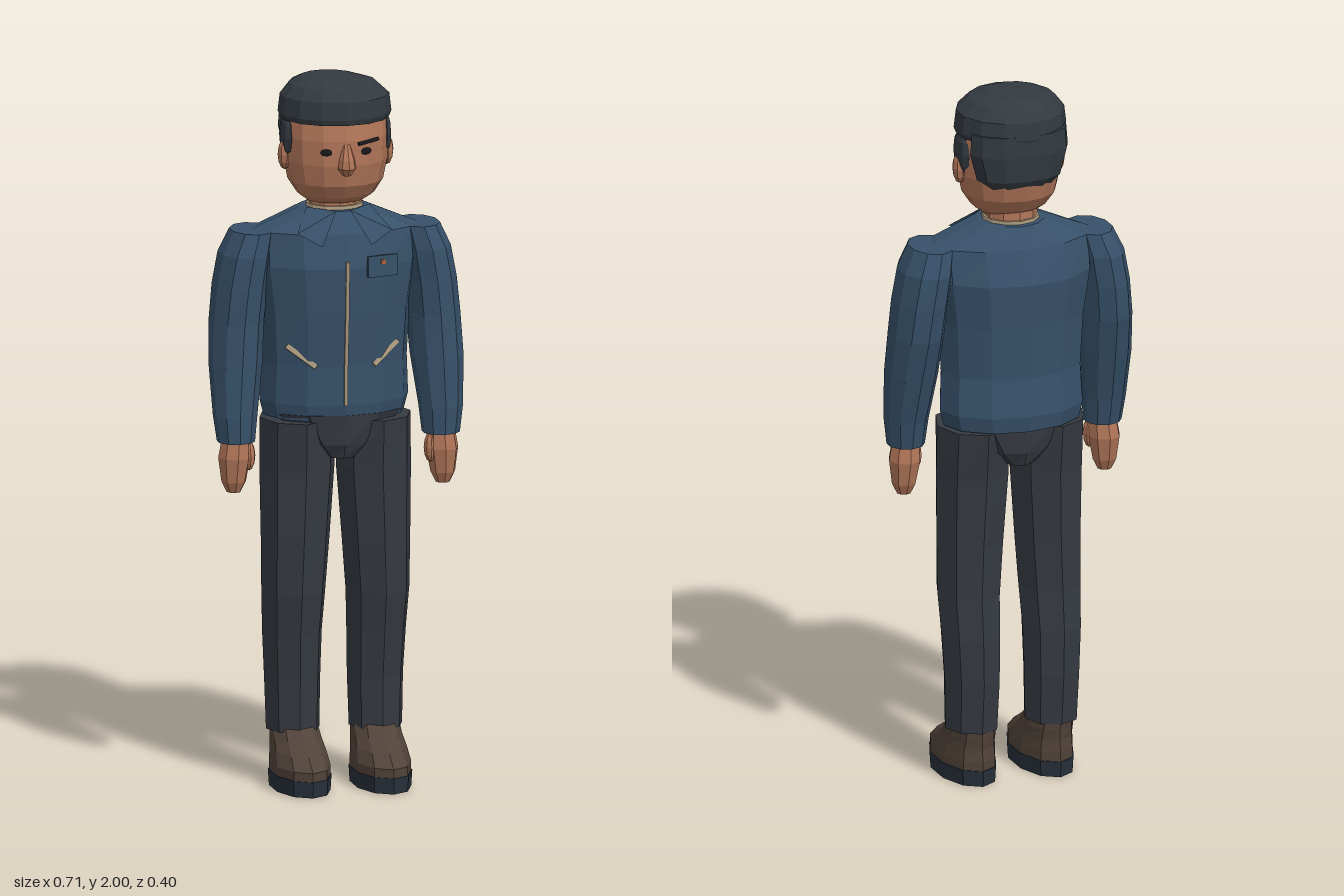
import * as THREE from 'three';

const mat = (name, color, side = THREE.FrontSide) => {
  const m = new THREE.MeshStandardMaterial({ color, flatShading: true, side });
  m.name = name;
  return m;
};

// Closed faceted solid through ellipses [y, centreX, centreZ, radiusX, radiusZ], bottom to top
function loft(rings, sides, mirror = 1) {
  const pos = [], idx = [];
  const ringPoint = ([y, cx, cz, rx, rz], j) => {
    const a = (j / sides) * Math.PI * 2;
    pos.push(cx * mirror + rx * Math.sin(a), y, cz + rz * Math.cos(a));
  };
  rings.forEach((r) => { for (let j = 0; j < sides; j++) ringPoint(r, j); });
  const n = rings.length, bottom = n * sides, top = bottom + 1;
  for (const r of [rings[0], rings[n - 1]]) pos.push(r[1] * mirror, r[0], r[2]);
  for (let j = 0; j < sides; j++) {
    const k = (j + 1) % sides;
    for (let i = 0; i < n - 1; i++) {
      const a = i * sides + j, b = i * sides + k;
      idx.push(a, b, b + sides, a, b + sides, a + sides);
    }
    idx.push(bottom, k, j, top, (n - 1) * sides + j, (n - 1) * sides + k);
  }
  let g = new THREE.BufferGeometry();
  g.setAttribute('position', new THREE.Float32BufferAttribute(pos, 3));
  g.setIndex(idx);
  g = g.toNonIndexed();
  g.computeVertexNormals();
  return g;
}

export function createModel() {
  const model = new THREE.Group();
  model.name = 'standingMan';
  const jacket = mat('jacketBlue', 0x37516a, THREE.DoubleSide);
  const trousers = mat('trouserCharcoal', 0x353a41);
  const hair = mat('hairDark', 0x333a40);
  const skin = mat('skin', 0xb27659);
  const leather = mat('shoeBrown', 0x51433a);
  const rubber = mat('soleDark', 0x28303a);
  const trim = mat('trimBeige', 0xa6957a);
  const ink = mat('eyeBlack', 0x17191c);
  const badge = mat('badgeOrange', 0xa8623c);

  const add = (name, geometry, material, parent = model) => {
    const m = new THREE.Mesh(geometry, material);
    m.name = name;
    parent.add(m);
    return m;
  };
  const blob = (name, material, p, s) => {
    const m = add(name, new THREE.SphereGeometry(1, 8, 6), material);
    m.position.set(...p);
    m.scale.set(...s);
    return m;
  };
  const bar = (name, from, to, width, material) => {
    const a = new THREE.Vector3(...from), b = new THREE.Vector3(...to);
    const m = add(name, new THREE.BoxGeometry(width, a.distanceTo(b), 0.009), material);
    m.position.copy(a).lerp(b, 0.5);
    m.quaternion.setFromUnitVectors(new THREE.Vector3(0, 1, 0), b.sub(a).normalize());
    return m;
  };

  // Jacket body, collar lining and neck
  add('jacketBody', loft([
    [1.045, 0, -0.04, 0.2, 0.14], [1.09, 0, -0.04, 0.212, 0.148], [1.2, 0, -0.035, 0.207, 0.143],
    [1.35, 0, -0.034, 0.215, 0.156], [1.48, 0, -0.036, 0.235, 0.166],
    [1.575, 0, -0.03, 0.235, 0.138], [1.633, 0, -0.032, 0.095, 0.104],
  ], 12), jacket);
  add('shirtCollar', loft([[1.62, 0, -0.032, 0.085, 0.088], [1.642, 0, -0.034, 0.08, 0.082]], 12), trim);
  add('neck', loft([[1.6, 0, -0.035, 0.075, 0.075], [1.72, 0, -0.035, 0.075, 0.075]], 10), skin);

  // Head with nose
  add('head', loft([
    [1.652, 0, -0.02, 0.08, 0.068], [1.672, 0, -0.018, 0.108, 0.1], [1.71, 0, -0.02, 0.133, 0.128],
    [1.77, 0, -0.022, 0.145, 0.143], [1.84, 0, -0.025, 0.148, 0.147], [1.92, 0, -0.03, 0.14, 0.14],
  ], 14), skin);
  add('nose', loft([
    [1.745, 0, 0.118, 0.012, 0.016], [1.765, 0, 0.12, 0.026, 0.028],
    [1.79, 0, 0.12, 0.022, 0.026], [1.832, 0, 0.115, 0.01, 0.01],
  ], 8), skin);
  const brow = bar('eyebrow', [0.033, 1.833, 0.122], [0.095, 1.84, 0.094], 0.01, ink);
  brow.scale.z = 0.9;

  // Hair: crown and the mass at the back of the head
  add('hairCrown', loft([
    [1.885, 0, -0.03, 0.152, 0.15], [1.9, 0, -0.03, 0.158, 0.155], [1.95, 0, -0.03, 0.152, 0.15],
    [1.982, -0.005, -0.03, 0.122, 0.125], [1.997, -0.015, -0.035, 0.08, 0.085], [2, -0.02, -0.035, 0.03, 0.03],
  ], 14), hair);
  add('hairBack', loft([
    [1.735, 0, -0.1, 0.085, 0.045], [1.775, 0, -0.1, 0.125, 0.073],
    [1.85, 0, -0.1, 0.145, 0.083], [1.91, 0, -0.1, 0.14, 0.082],
  ], 12), hair);

  // Hip section joining the legs
  add('hips', loft([
    [0.935, 0, -0.03, 0.06, 0.115], [0.975, 0, -0.03, 0.12, 0.13], [1.06, 0, -0.03, 0.2, 0.135],
  ], 12), trousers);

  // Mirrored parts
  for (const s of [1, -1]) {
    const side = s > 0 ? 'left' : 'right';
    add(side + 'Sleeve', loft([
      [0.985, 0.292, 0.016, 0.053, 0.055], [1.06, 0.293, 0.01, 0.062, 0.065],
      [1.2, 0.287, -0.012, 0.074, 0.087], [1.32, 0.28, -0.03, 0.075, 0.103],
      [1.42, 0.27, -0.034, 0.075, 0.11], [1.51, 0.255, -0.034, 0.073, 0.11],
      [1.575, 0.235, -0.03, 0.062, 0.09],
    ], 10, s), jacket);
    add(side + 'Hand', loft([
      [0.842, 0.298, 0.015, 0.02, 0.02], [0.872, 0.298, 0.015, 0.035, 0.036],
      [0.94, 0.296, 0.014, 0.046, 0.05], [0.995, 0.292, 0.015, 0.04, 0.042],
    ], 8, s), skin);
    blob(side + 'Thumb', skin, [s * 0.258, 0.945, 0.03], [0.018, 0.042, 0.022]);

    add(side + 'TrouserLeg', loft([
      [0.155, 0.118, -0.036, 0.076, 0.089], [0.3, 0.118, -0.042, 0.08, 0.098],
      [0.43, 0.12, -0.036, 0.085, 0.104], [0.545, 0.12, -0.02, 0.091, 0.108],
      [0.7, 0.115, -0.018, 0.098, 0.11], [0.9, 0.109, -0.022, 0.107, 0.117],
      [1.04, 0.11, -0.026, 0.105, 0.13],
    ], 8, s), trousers);
    add(side + 'Sole', loft([[0, 0.115, 0.037, 0.08, 0.16], [0.045, 0.115, 0.037, 0.083, 0.163]], 10, s), rubber);
    add(side + 'Shoe', loft([
      [0.045, 0.115, 0.037, 0.08, 0.16], [0.07, 0.115, 0.037, 0.08, 0.16],
      [0.105, 0.115, 0.015, 0.075, 0.132], [0.135, 0.115, -0.015, 0.07, 0.104],
      [0.168, 0.116, -0.036, 0.066, 0.085],
    ], 10, s), leather);

    blob(side + 'Ear', skin, [s * 0.145, 1.785, -0.018], [0.02, 0.043, 0.028]);
    blob(side + 'Sideburn', hair, [s * 0.137, 1.835, -0.022], [0.02, 0.068, 0.052]);
    const eye = blob(side + 'Eye', ink, [s * 0.057, 1.81, 0.111], [0.017, 0.01, 0.004]);
    eye.rotation.y = s * 0.3;

    // Collar flap laid over the shoulder, and the slanted pocket zip
    const flap = new THREE.BufferGeometry();
    flap.setAttribute('position', new THREE.Float32BufferAttribute([
      s * 0.02, 1.636, 0.076, s * 0.07, 1.545, 0.122, s * 0.135, 1.58, 0.094, s * 0.09, 1.638, 0.01,
    ], 3));
    flap.setIndex(s > 0 ? [0, 1, 2, 0, 2, 3] : [0, 2, 1, 0, 3, 2]);
    flap.computeVertexNormals();
    add(side + 'CollarFlap', flap, jacket);
    bar(side + 'PocketZip', [s * 0.082, 1.2, 0.096], [s * 0.158, 1.257, 0.06], 0.014, trim);
  }

  // Front zip following the chest
  const zip = [[1.09, 0.109], [1.2, 0.109], [1.35, 0.123], [1.5, 0.13]];
  for (let i = 0; i < 3; i++) {
    bar('frontZip', [0, ...zip[i]], [0, ...zip[i + 1]], 0.01, trim);
  }

  // Chest pocket with a small badge
  const pocket = new THREE.Group();
  pocket.name = 'chestPocket';
  pocket.position.set(0.1, 1.485, 0.122);
  pocket.rotation.y = 0.28;
  model.add(pocket);
  add('pocketPatch', new THREE.BoxGeometry(0.092, 0.06, 0.009), jacket, pocket);
  add('pocketBadge', new THREE.BoxGeometry(0.014, 0.012, 0.004), badge, pocket).position.set(0, 0.012, 0.006);
  return model;
}
